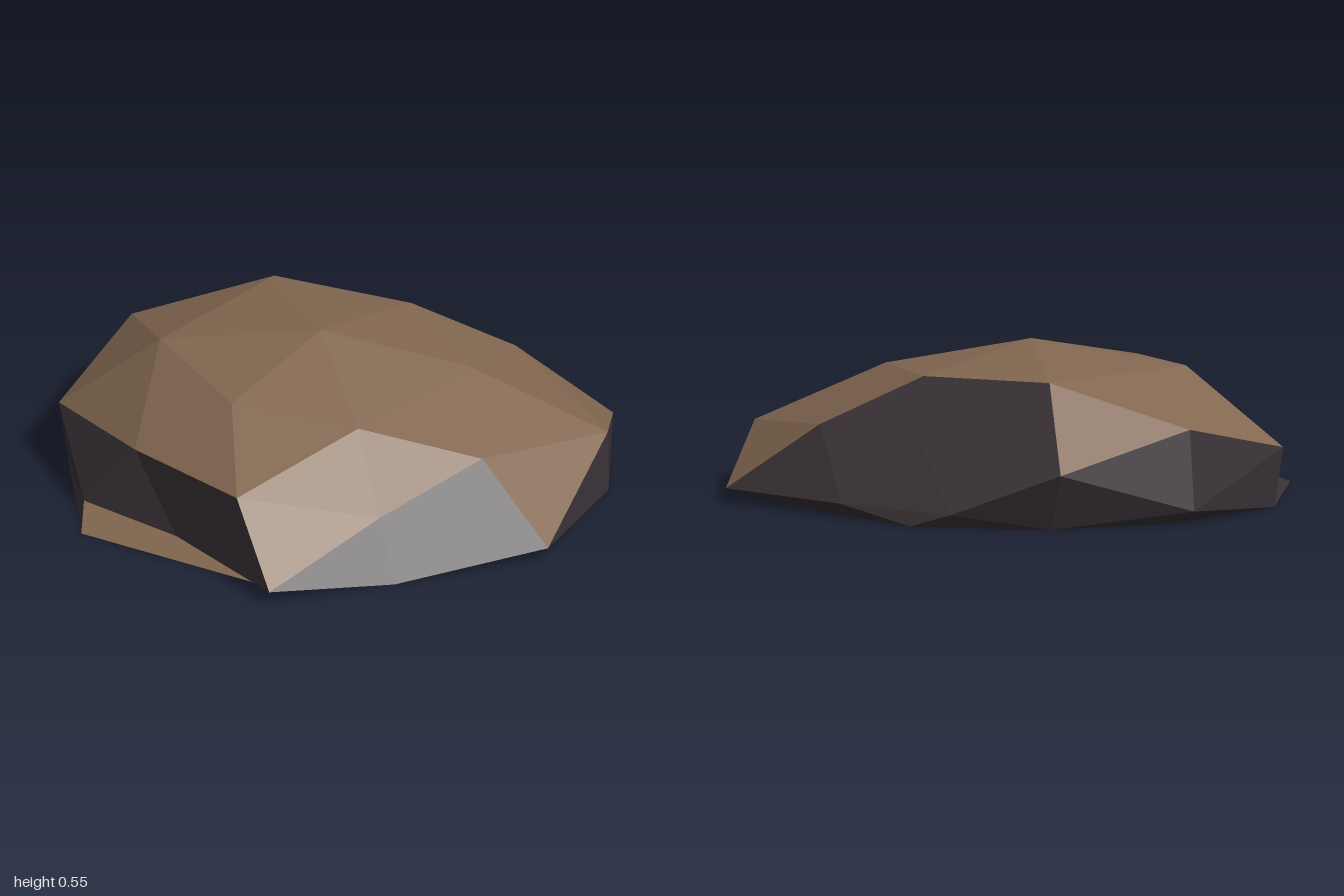
import * as THREE from 'three';

// Rock points in rings from top to ground, each ring running round the vertical axis
const apex = [[-0.07, 0.55, -0.02]];
const crown = [
  [0.34, 0.465, -0.28], [0.41, 0.44, 0.2], [-0.08, 0.4, 0.45],
  [-0.47, 0.45, 0.23], [-0.58, 0.48, -0.25], [-0.06, 0.48, -0.59],
];
const shoulder = [
  [0.69, 0.29, -0.19], [0.84, 0.22, 0.4], [0.32, 0.3, 0.61], [-0.08, 0.175, 0.7], [-0.58, 0.3, 0.64],
  [-0.79, 0.27, 0.13], [-0.9, 0.21, -0.4], [-0.53, 0.33, -0.74], [-0.06, 0.2, -0.89], [0.37, 0.25, -0.49],
];
const skirt = [
  [0.65, 0.05, -0.45], [1, 0.05, -0.05], [0.48, 0.05, 0.86], [-0.54, 0.05, 0.89],
  [-0.72, 0.05, 0.39], [-0.94, 0.04, 0.02], [-0.54, 0.05, -0.78], [0.31, 0.05, -0.76],
];
const foot = [
  [0.8, 0, -0.12], [0.84, 0, 0.41], [0.42, 0, 0.7], [-0.08, 0, 0.87], [-0.48, 0, 0.78],
  [-1, 0, 0.18], [-0.87, 0, -0.395], [-0.45, 0, -0.72], [-0.04, 0, -0.81], [0.44, 0, -0.67],
];
// Flat underside: the crown shrunk onto the ground
const underside = crown.map(([x, , z]) => [x * 0.9, 0, z * 0.9]);
const rings = [apex, crown, shoulder, skirt, foot, underside, [[0, 0, 0]]];

// Which ring a point of the unit icosphere belongs to
const levelOf = (y) => [0.9, 0.7, 0.2, -0.2, -0.7, -0.9].filter((limit) => y < limit).length;

// Angle round the vertical axis, in whole degrees
const angleOf = (v) => (Math.round(THREE.MathUtils.radToDeg(Math.atan2(v.z, v.x))) + 360) % 360;

export function createModel() {
  const sphere = new THREE.IcosahedronGeometry(1, 1).toNonIndexed
    ? new THREE.IcosahedronGeometry(1, 1)
    : null;
  const pos = sphere.attributes.position;
  const corners = [];
  for (let i = 0; i < pos.count; i++) corners.push(new THREE.Vector3().fromBufferAttribute(pos, i));

  // Sorted list of the angles found on each level
  const angles = rings.map((_, level) => {
    const found = corners.filter((v) => levelOf(v.y) === level).map(angleOf);
    return [...new Set(found)].sort((a, b) => a - b);
  });

  // Move every icosphere corner to its place on the rock
  const moved = corners.map((v) => {
    const level = levelOf(v.y);
    const ring = rings[level];
    const index = ring.length === 1 ? 0 : angles[level].indexOf(angleOf(v));
    return new THREE.Vector3(...ring[index]);
  });

  // Gentle slopes are earth, steep and downward faces are dark stone
  const earth = [];
  const stone = [];
  const normal = new THREE.Vector3();
  for (let i = 0; i < moved.length; i += 3) {
    const face = moved.slice(i, i + 3);
    new THREE.Triangle(...face).getNormal(normal);
    (normal.y > 0.71 ? earth : stone).push(...face);
  }

  const group = new THREE.Group();
  group.name = 'rock';
  const addFaces = (name, points, color) => {
    const geometry = new THREE.BufferGeometry().setFromPoints(points);
    geometry.computeVertexNormals();
    const material = new THREE.MeshStandardMaterial({ color, flatShading: true });
    const mesh = new THREE.Mesh(geometry, material);
    mesh.name = name;
    group.add(mesh);
  };
  addFaces('earthTop', earth, 0x836851);
  addFaces('stoneSides', stone, 0x3b3338);
  return group;
}
